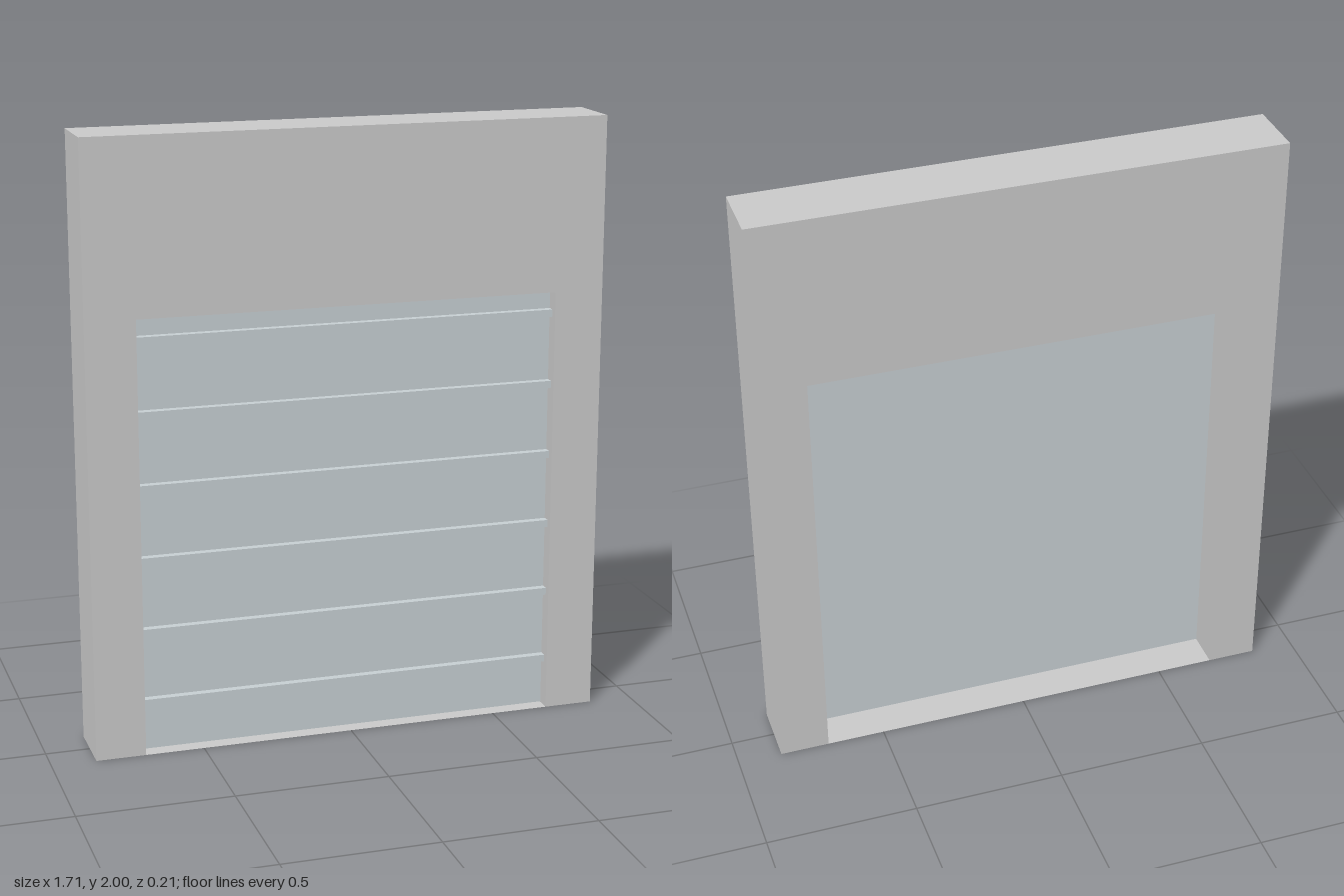
import * as THREE from 'three';

const WIDTH = 1.71, HEIGHT = 2, DEPTH = 0.21;
const OPEN_W = 1.384, OPEN_H = 1.434;
const DOOR_BACK = 0.018, DOOR_FRONT = 0.058;

export function createModel() {
  const group = new THREE.Group();
  const wallMat = new THREE.MeshStandardMaterial({ color: 0xcccccc });
  const sillMat = new THREE.MeshStandardMaterial({ color: 0xcccccc, side: THREE.DoubleSide });
  const doorMat = new THREE.MeshStandardMaterial({ color: 0xc8d0d4 });

  const add = (name, geometry, material, x, y, z) => {
    const mesh = new THREE.Mesh(geometry, material);
    mesh.name = name;
    mesh.position.set(x, y, z);
    group.add(mesh);
    return mesh;
  };

  // Wall with a doorway cut up from the bottom edge
  const w = WIDTH / 2, o = OPEN_W / 2;
  const outline = new THREE.Shape([
    [-w, 0], [-o, 0], [-o, OPEN_H], [o, OPEN_H], [o, 0], [w, 0], [w, HEIGHT], [-w, HEIGHT],
  ].map(([x, y]) => new THREE.Vector2(x, y)));
  add('wall', new THREE.ExtrudeGeometry(outline, { depth: DEPTH, bevelEnabled: false }), wallMat, 0, 0, -DEPTH / 2);

  // Thin sill closing the bottom of the doorway
  add('sill', new THREE.PlaneGeometry(OPEN_W, DEPTH).rotateX(-Math.PI / 2), sillMat, 0, 0, 0);

  // Door panel set back in the doorway
  add('doorPanel', new THREE.BoxGeometry(OPEN_W, OPEN_H - 0.002, DOOR_FRONT - DOOR_BACK), doorMat,
    0, OPEN_H / 2 + 0.001, (DOOR_FRONT + DOOR_BACK) / 2);

  // Evenly spaced horizontal ribs on the front of the door
  const ribGeometry = new THREE.BoxGeometry(OPEN_W, 0.024, 0.025);
  for (let i = 0; i < 6; i++) {
    add(`doorRib${i + 1}`, ribGeometry, doorMat, 0, 0.168 + i * 0.2385, DOOR_FRONT + 0.0125);
  }

  return group;
}
